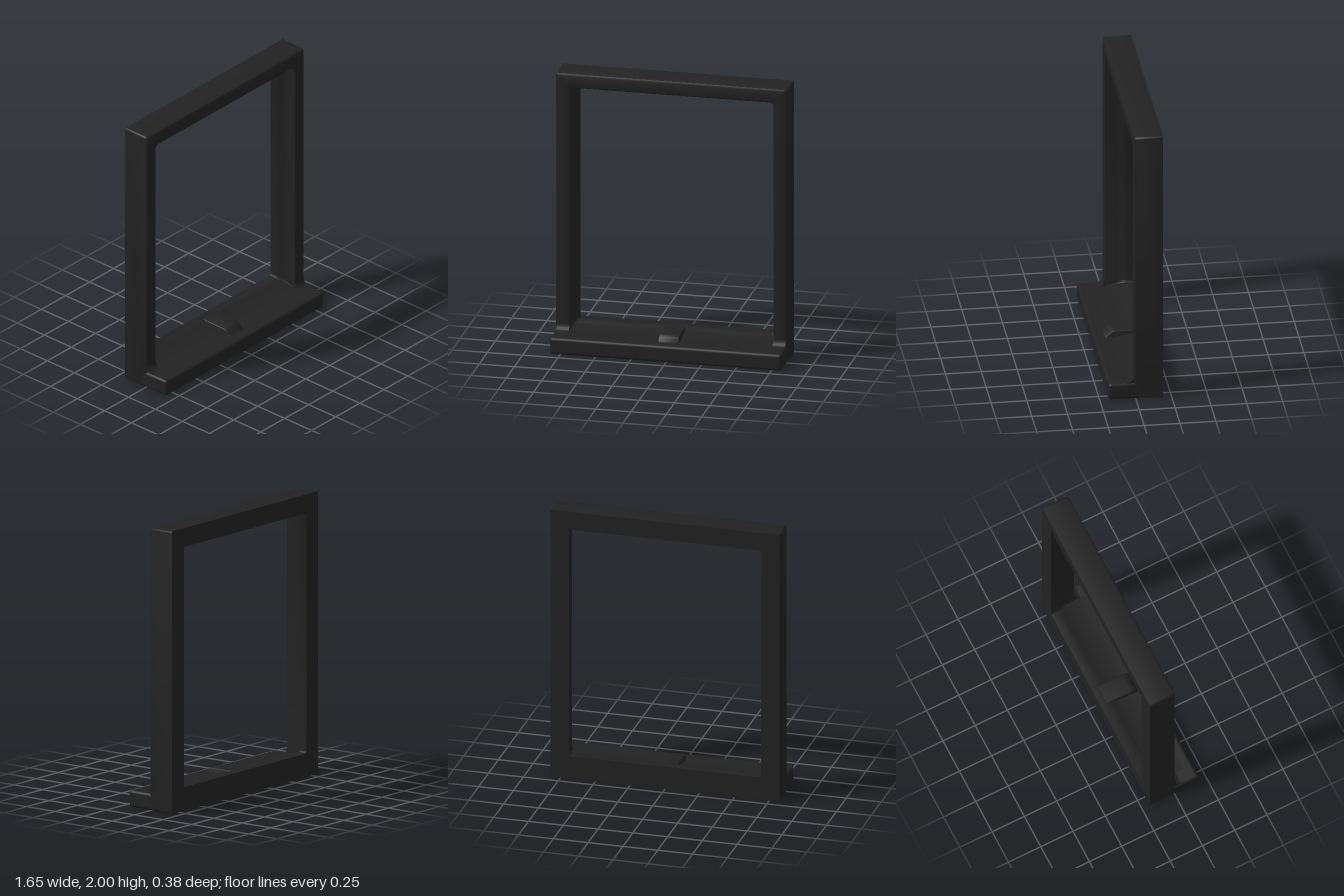
import * as THREE from 'three';
import { toCreasedNormals } from 'three/addons/utils/BufferGeometryUtils.js';
import { RoundedBoxGeometry } from 'three/addons/geometries/RoundedBoxGeometry.js';

const charcoal = new THREE.MeshStandardMaterial({ color: 0x222222 });
charcoal.name = 'charcoal';

// Rounded rectangle outline, anticlockwise seen from the front
function outline([w, y0, y1, r, z]) {
  const pts = [];
  const centres = [[-w + r, y0 + r], [w - r, y0 + r], [w - r, y1 - r], [-w + r, y1 - r]];
  centres.forEach(([cx, cy], k) => {
    for (let s = 0; s <= 5; s++) {
      const a = Math.PI + (k + s / 5) * Math.PI / 2;
      pts.push([cx + r * Math.cos(a), cy + r * Math.sin(a), z]);
    }
  });
  return pts;
}

// Closed ring lofted through a cycle of outlines
function ringLoft(sections) {
  const n = 24, m = sections.length, index = [];
  for (let i = 0; i < m; i++) for (let j = 0; j < n; j++) {
    const i2 = (i + 1) % m, j2 = (j + 1) % n;
    const a = i * n + j, b = i * n + j2, c = i2 * n + j2, d = i2 * n + j;
    index.push(a, b, c, a, c, d);
  }
  const geo = new THREE.BufferGeometry();
  geo.setAttribute('position', new THREE.Float32BufferAttribute(sections.map(outline).flat(2), 3));
  geo.setIndex(index);
  return toCreasedNormals(geo, 0.75);
}

// Side profile in (z, y), extruded along x and centred
function sideExtrude(shape, width, bevel = 0) {
  const geo = new THREE.ExtrudeGeometry(shape, {
    depth: width - 2 * bevel, curveSegments: 10, bevelEnabled: bevel > 0,
    bevelSize: bevel, bevelThickness: bevel, bevelSegments: 4, bevelOffset: -bevel,
  });
  geo.translate(0, 0, bevel - width / 2);
  geo.rotateY(-Math.PI / 2);
  return toCreasedNormals(geo, 0.75);
}

export function createModel() {
  const group = new THREE.Group();
  const add = (name, geo, x = 0, y = 0, z = 0) => {
    const mesh = new THREE.Mesh(geo, charcoal);
    mesh.name = name;
    mesh.position.set(x, y, z);
    group.add(mesh);
  };

  // Upright frame: square back, rounded front, opening narrowing to the back
  add('frame', ringLoft([
    [0.823, 0, 2, 0.012, -0.19],
    [0.823, 0, 2, 0.02, -0.01],
    [0.817, 0.006, 1.994, 0.02, 0.004],
    [0.803, 0.02, 1.98, 0.02, 0.01],
    [0.735, 0.1, 1.905, 0.03, 0.01],
    [0.724, 0.11, 1.896, 0.025, 0.006],
    [0.72, 0.115, 1.892, 0.025, -0.006],
    [0.717, 0.13, 1.89, 0.025, -0.07],
    [0.708, 0.15, 1.882, 0.022, -0.1],
    [0.695, 0.163, 1.872, 0.02, -0.12],
    [0.69, 0.167, 1.867, 0.015, -0.14],
    [0.69, 0.167, 1.867, 0.015, -0.19],
  ]));

  // Projecting sill
  add('sill', new RoundedBoxGeometry(1.646, 0.12, 0.24, 4, 0.022), 0, 0.06, 0.07);

  // Slope rising from the sill to the back lip
  const ramp = new THREE.Shape();
  ramp.moveTo(-0.16, 0.08);
  ramp.lineTo(0.12, 0.08);
  ramp.lineTo(0.12, 0.12);
  ramp.bezierCurveTo(0.04, 0.122, -0.06, 0.13, -0.12, 0.164);
  ramp.lineTo(-0.16, 0.166);
  add('sillSlope', sideExtrude(ramp, 1.44));

  // Raised tongue in the middle of the sill
  const tongue = new THREE.Shape();
  tongue.moveTo(-0.15, 0.09);
  tongue.lineTo(0.13, 0.09);
  tongue.lineTo(0.125, 0.118);
  tongue.bezierCurveTo(0.09, 0.122, 0.09, 0.165, 0.045, 0.167);
  tongue.lineTo(-0.15, 0.167);
  add('centreTongue', sideExtrude(tongue, 0.15, 0.012));

  // Fillets where the posts meet the sill
  const fillet = new THREE.Shape();
  fillet.moveTo(-0.02, 0.1);
  fillet.lineTo(0.07, 0.1);
  fillet.lineTo(0.07, 0.119);
  fillet.quadraticCurveTo(0.015, 0.12, 0.009, 0.17);
  fillet.lineTo(-0.02, 0.17);
  for (const side of [-1, 1]) {
    add(side > 0 ? 'leftPostFillet' : 'rightPostFillet', sideExtrude(fillet, 0.09), side * 0.767);
  }
  return group;
}
